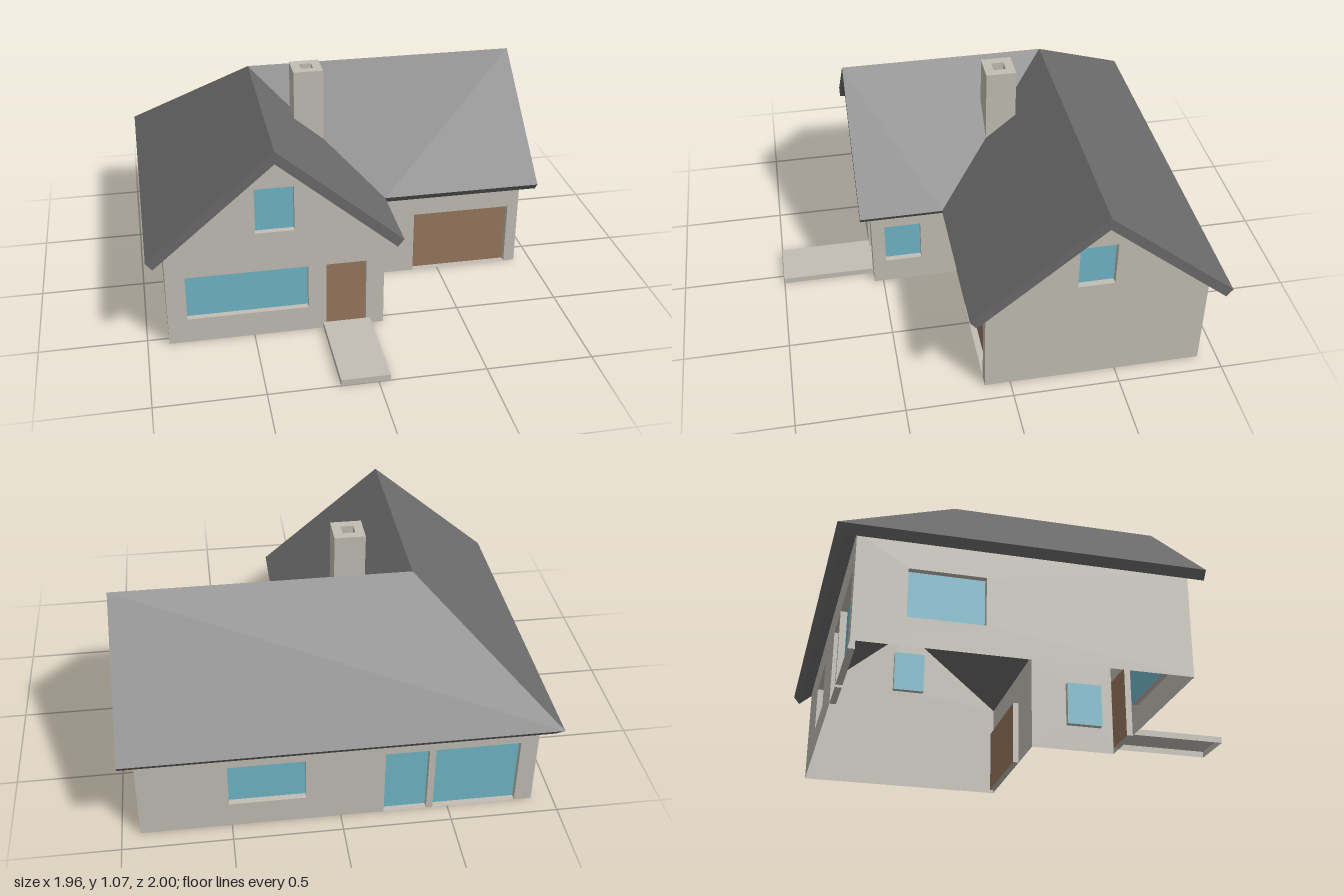
import * as THREE from 'three';

const flat = (name, color, side = THREE.DoubleSide) => {
  const m = new THREE.MeshStandardMaterial({ color, side });
  m.name = name;
  return m;
};

export function createModel() {
  const house = new THREE.Group();
  house.name = 'house';
  const wallMat = flat('plaster', 0xc2beb5);
  const roofMat = flat('slate', 0x6a6a6a);
  const glassMat = flat('glass', 0x70b6c8);
  const woodMat = flat('wood', 0x98785c);

  const add = (parent, name, geo, mat, x = 0, y = 0, z = 0) => {
    const mesh = new THREE.Mesh(geo, mat);
    mesh.name = name;
    mesh.position.set(x, y, z);
    parent.add(mesh);
    return mesh;
  };

  // Wall sheet in local u (width) and y, with recessed openings.
  // Each opening is [name, u0, u1, y0, y1, material]; y0 = 0 cuts the bottom edge.
  const DEPTH = 0.03, EAVE = 0.49;
  function wall(name, turn, dist, u0, u1, apex, openings) {
    const group = new THREE.Group();
    group.name = name;
    group.rotation.y = turn;
    group.position.set(Math.sin(turn) * dist, 0, Math.cos(turn) * dist);
    house.add(group);

    const pts = [[u0, 0]];
    const sorted = [...openings].sort((a, b) => a[1] - b[1]);
    for (const [, a, b, y0, y1] of sorted) {
      if (y0 === 0) pts.push([a, 0], [a, y1], [b, y1], [b, 0]);
    }
    pts.push([u1, 0], [u1, EAVE]);
    if (apex !== null) pts.push([apex, 0.92]);
    pts.push([u0, EAVE]);
    const shape = new THREE.Shape(pts.map(p => new THREE.Vector2(...p)));

    for (const [label, a, b, y0, y1, mat] of openings) {
      if (y0 > 0) {
        const hole = [[a, y0], [a, y1], [b, y1], [b, y0]];
        shape.holes.push(new THREE.Path(hole.map(p => new THREE.Vector2(...p))));
      }
      // Reveal: the four sides of a box, open at front and back
      const w = b - a, h = y1 - y0, cx = (a + b) / 2, cy = (y0 + y1) / 2;
      const reveal = new THREE.BoxGeometry(w, h, DEPTH);
      reveal.setIndex([...reveal.index.array.slice(0, 24)]);
      reveal.clearGroups();
      add(group, label + 'Reveal', reveal, wallMat, cx, cy, -DEPTH / 2);
      add(group, label, new THREE.PlaneGeometry(w, h), mat, cx, cy, -DEPTH);
    }
    add(group, name + 'Face', new THREE.ShapeGeometry(shape), wallMat);
  }

  wall('frontGableWall', 0, 0.545, -0.9, 0.12, -0.39, [
    ['livingWindow', -0.81, -0.24, 0.125, 0.35, glassMat],
    ['frontDoor', -0.155, 0.035, 0, 0.35, woodMat],
    ['frontAtticWindow', -0.48, -0.3, 0.55, 0.775, glassMat],
  ]);
  wall('garageWall', 0, 0.12, 0.12, 0.915, null, [
    ['garageDoor', 0.37, 0.86, 0, 0.325, woodMat],
  ]);
  wall('porchSideWall', Math.PI / 2, 0.12, -0.545, -0.12, null, [
    ['porchWindow', -0.48, -0.3, 0.13, 0.35, glassMat],
  ]);
  wall('sideGableWall', Math.PI / 2, 0.915, -0.12, 0.91, 0.4, [
    ['sideAtticWindow', 0.295, 0.465, 0.55, 0.775, glassMat],
  ]);
  wall('backWall', Math.PI, 0.91, -0.915, 0.9, null, [
    ['backWindow', -0.51, -0.16, 0.13, 0.35, glassMat],
    ['patioDoor', 0.2, 0.4, 0, 0.35, glassMat],
    ['patioWindow', 0.43, 0.82, 0, 0.35, glassMat],
  ]);
  wall('longSideWall', -Math.PI / 2, 0.9, -0.91, 0.545, null, [
    ['longSideWindow', -0.69, -0.36, 0.13, 0.35, glassMat],
  ]);

  // Roof: each corner as [top, underside]; eaves are cut square to the slope
  const c = {
    frontLeft: [[-0.98, 0.48, 0.6], [-0.95, 0.443, 0.6]],
    frontRidge: [[-0.39, 0.98, 0.6], [-0.39, 0.92, 0.6]],
    frontRight: [[0.2, 0.48, 0.6], [0.17, 0.443, 0.6]],
    inner: [[0.2, 0.48, 0.2], [0.17, 0.443, 0.17]],
    sideFront: [[0.98, 0.48, 0.2], [0.98, 0.443, 0.17]],
    sideRidge: [[0.98, 0.98, -0.4], [0.98, 0.92, -0.4]],
    backRight: [[0.98, 0.48, -1], [0.98, 0.443, -0.97]],
    backLeft: [[-0.98, 0.48, -1], [-0.95, 0.443, -0.97]],
  };
  const joint = [[-0.39, 0.98, -0.4], [-0.39, 0.92, -0.4]];
  const pos = [];
  const quad = (p, q, r, s) => pos.push(...p, ...q, ...r, ...p, ...r, ...s);
  const slopes = [
    [c.frontLeft, c.frontRidge, joint, c.backLeft],
    [c.backLeft, joint, c.sideRidge, c.backRight],
    [c.inner, c.sideFront, c.sideRidge, joint],
    [c.frontRidge, c.frontRight, c.inner, joint],
  ];
  for (const s of slopes) {
    quad(...s.map(p => p[0]));
    quad(...s.map(p => p[1]).reverse());
  }
  const rim = Object.values(c);
  rim.forEach((a, i) => {
    const b = rim[(i + 1) % rim.length];
    quad(a[1], b[1], b[0], a[0]);
  });
  const roof = new THREE.BufferGeometry();
  roof.setAttribute('position', new THREE.Float32BufferAttribute(pos, 3));
  roof.computeVertexNormals();
  add(house, 'roof', roof, roofMat);

  // Chimney: square tube standing in the valley
  const square = (T, r) => new T([[-r, -r], [r, -r], [r, r], [-r, r]].map(p => new THREE.Vector2(...p)));
  const stack = square(THREE.Shape, 0.073);
  stack.holes.push(square(THREE.Path, 0.03));
  const chimney = new THREE.ExtrudeGeometry(stack, { depth: 0.375, bevelEnabled: false });
  chimney.rotateX(-Math.PI / 2);
  add(house, 'chimney', chimney, wallMat, -0.132, 0.69, -0.138);

  // Front path: shallow slab, open underneath
  const path = new THREE.BoxGeometry(0.225, 0.03, 0.455);
  const idx = [...path.index.array];
  path.setIndex([...idx.slice(0, 18), ...idx.slice(24)]);
  path.clearGroups();
  add(house, 'frontPath', path, wallMat, -0.058, 0.015, 0.7725);

  return house;
}
